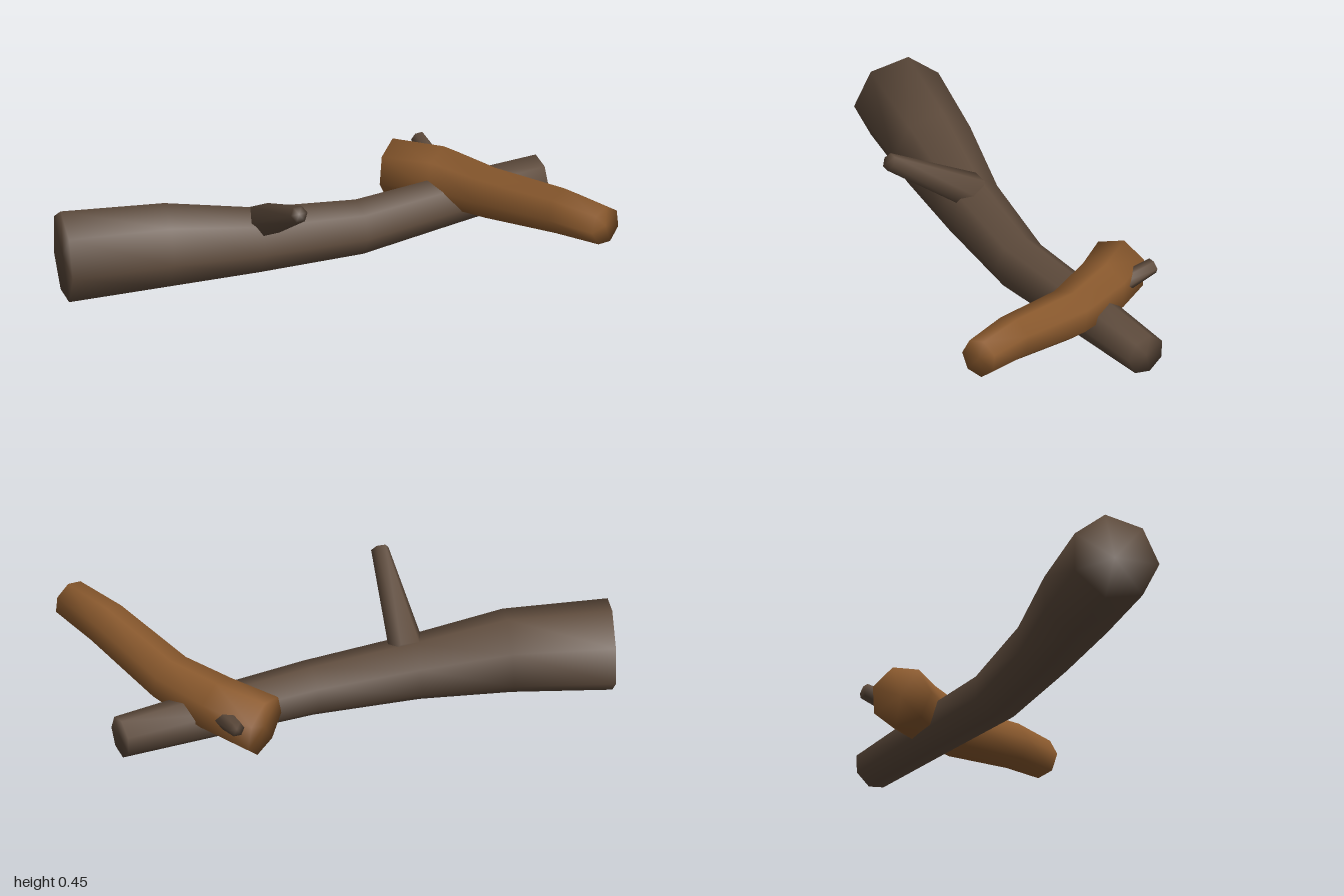
import * as THREE from 'three';

const bark = new THREE.MeshStandardMaterial({ color: 0x5e4b3c });
const paleBark = new THREE.MeshStandardMaterial({ color: 0x8b5a2e });

// Tapered branch: each section is [x, y, z, radius]; ring and cap vertices are shared for soft shading
function branch(name, material, sections, sides = 7) {
  const centers = sections.map(([x, y, z]) => new THREE.Vector3(x, y, z));
  const last = sections.length - 1;
  const up = new THREE.Vector3(0, 1, 0);
  const positions = [];
  const indices = [];

  centers.forEach((center, i) => {
    const tangent = centers[Math.min(i + 1, last)].clone().sub(centers[Math.max(i - 1, 0)]).normalize();
    const side = tangent.clone().cross(up).normalize();
    const normal = side.clone().cross(tangent);
    for (let j = 0; j < sides; j++) {
      const a = (j / sides) * Math.PI * 2;
      const p = center.clone()
        .addScaledVector(side, Math.cos(a) * sections[i][3])
        .addScaledVector(normal, Math.sin(a) * sections[i][3]);
      positions.push(p.x, p.y, p.z);
    }
  });

  // End cap centres
  const startCap = positions.length / 3;
  const endCap = startCap + 1;
  positions.push(...centers[0].toArray(), ...centers[last].toArray());

  for (let j = 0; j < sides; j++) {
    const k = (j + 1) % sides;
    for (let i = 0; i < last; i++) {
      const a = i * sides + j, b = i * sides + k;
      indices.push(a, a + sides, b, b, a + sides, b + sides);
    }
    indices.push(startCap, j, k, endCap, last * sides + k, last * sides + j);
  }

  const geometry = new THREE.BufferGeometry();
  geometry.setAttribute('position', new THREE.Float32BufferAttribute(positions, 3));
  geometry.setIndex(indices);
  geometry.computeVertexNormals();
  const mesh = new THREE.Mesh(geometry, material);
  mesh.name = name;
  return mesh;
}

export function createModel() {
  const group = new THREE.Group();
  group.name = 'fallenBranches';

  group.add(
    // Long log lying on the ground, thick at its right end
    branch('mainLog', bark, [
      [-0.947, 0.163, 0.357, 0.166],
      [-0.6, 0.163, 0.243, 0.152],
      [-0.29, 0.128, 0.125, 0.118],
      [0.053, 0.1, -0.04, 0.1],
      [0.34, 0.093, -0.25, 0.09],
      [0.648, 0.08, -0.473, 0.076],
    ]),
    // Lighter branch resting across the log
    branch('crossBranch', paleBark, [
      [0.148, 0.13, -0.38, 0.113],
      [0.33, 0.157, -0.315, 0.107],
      [0.52, 0.172, -0.195, 0.093],
      [0.79, 0.243, 0.01, 0.083],
      [0.95, 0.265, 0.125, 0.071],
    ]),
    // Broken side twigs of the log
    branch('frontTwig', bark, [
      [-0.265, 0.2, 0.115, 0.066],
      [-0.105, 0.425, 0.413, 0.032],
    ], 6),
    branch('backTwig', bark, [
      [0.36, 0.13, -0.29, 0.045],
      [0.222, 0.184, -0.508, 0.028],
    ], 6),
  );
  return group;
}
